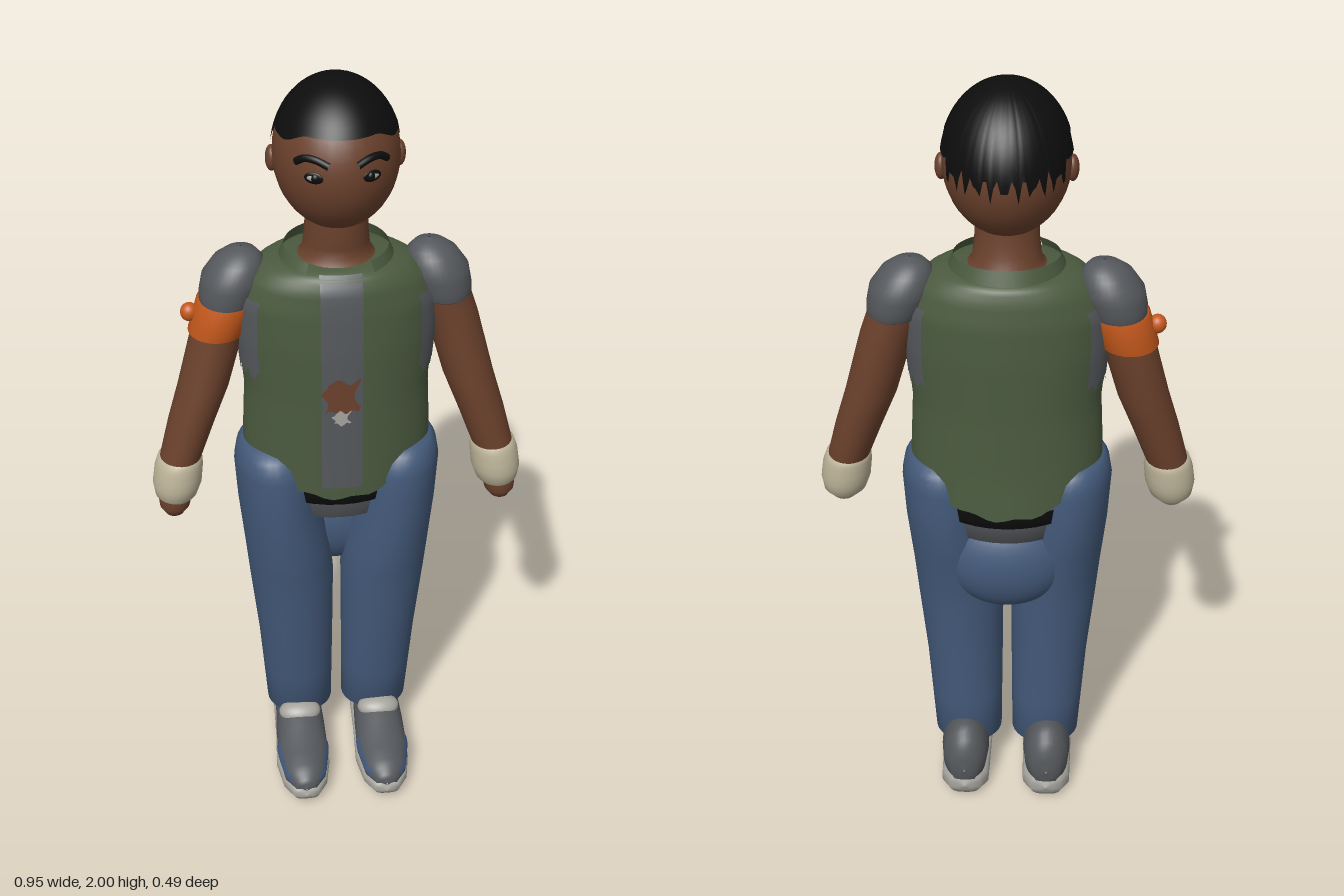
import * as THREE from 'three';
import { mergeVertices } from 'three/addons/utils/BufferGeometryUtils.js';

const { sin, cos, abs, sign, sqrt, PI } = Math;
const lerp = THREE.MathUtils.lerp;
const material = (name, color) => Object.assign(new THREE.MeshStandardMaterial({ color, side: THREE.DoubleSide }), { name });

const skin = material('skin', 0x6b412c);
const black = material('black', 0x0d0d0d);
const green = material('green', 0x4b5a3f);
const grey = material('grey', 0x55585c);
const denim = material('denim', 0x435979);
const cream = material('cream', 0xbdb499);
const orange = material('orange', 0xc4581c);
const pale = material('pale', 0xa6a49d);

// Smooth surface from a function of u and v
function grid(fn, nu, nv) {
  const pos = [], index = [];
  for (let j = 0; j <= nv; j++) for (let i = 0; i <= nu; i++) pos.push(...fn(i / nu, j / nv));
  for (let j = 0; j < nv; j++) for (let i = 0; i < nu; i++) {
    const a = j * (nu + 1) + i, b = a + nu + 1;
    index.push(a, a + 1, b + 1, a, b + 1, b);
  }
  const g = new THREE.BufferGeometry();
  g.setAttribute('position', new THREE.Float32BufferAttribute(pos, 3));
  g.setIndex(index);
  const merged = mergeVertices(g, 1e-5);
  merged.computeVertexNormals();
  return merged;
}

// Section row: [station, centre x, half width, low, high]
function section(rows, s) {
  let i = rows.findIndex((r, k) => k < rows.length - 1 && (s - r[0]) * (s - rows[k + 1][0]) <= 0);
  if (i < 0) i = abs(s - rows[0][0]) < abs(s - rows.at(-1)[0]) ? 0 : rows.length - 2;
  const t = THREE.MathUtils.clamp((s - rows[i][0]) / (rows[i + 1][0] - rows[i][0]), 0, 1);
  return rows[i].map((a, k) => lerp(a, rows[i + 1][k], t));
}

// Point on a section: angle 0 faces the high side, PI / 2 faces +x
function ringPoint([s, c, r, lo, hi], a, alongZ = false, grow = 0, e = 1) {
  const bend = v => sign(v) * Math.pow(abs(v), e);
  const A = c + (r + grow) * bend(sin(a)), B = (lo + hi) / 2 + ((hi - lo) / 2 + grow) * bend(cos(a));
  return alongZ ? [A, B, s] : [A, s, B];
}

// Stations run upward in y, or backward in z when alongZ is set
function loft(rows, side = 1, alongZ = false, e = 1) {
  const n = (rows.length - 1) * 2;
  return grid((u, v) => {
    const k = v * n / 2, i = Math.min(Math.floor(k), rows.length - 2);
    const row = rows[i].map((a, j) => lerp(a, rows[i + 1][j], k - i));
    row[1] *= side;
    return ringPoint(row, u * 2 * PI, alongZ, 0, e);
  }, 32, n);
}

const BODY = [
  [0.90, 0, 0.232, -0.240, 0.098], [1.04, 0, 0.240, -0.226, 0.096], [1.20, 0, 0.232, -0.220, 0.095],
  [1.35, 0, 0.245, -0.220, 0.095], [1.45, 0, 0.246, -0.215, 0.090], [1.51, 0, 0.220, -0.205, 0.083],
  [1.54, 0, 0.185, -0.195, 0.072], [1.553, 0, 0.145, -0.180, 0.055], [1.557, 0, 0.09, -0.14, 0.02]];
const LEG = [
  [0.13, 0.105, 0.004, -0.075, -0.07], [0.131, 0.105, 0.090, -0.155, 0.012], [0.40, 0.113, 0.101, -0.160, 0.045],
  [0.60, 0.122, 0.112, -0.170, 0.065], [0.70, 0.131, 0.112, -0.182, 0.080], [0.85, 0.150, 0.108, -0.205, 0.090],
  [0.97, 0.158, 0.107, -0.205, 0.090], [1.01, 0.162, 0.096, -0.195, 0.078], [1.035, 0.165, 0.078, -0.175, 0.055],
  [1.05, 0.168, 0.03, -0.12, 0.0]];
const ARM = [
  [0.96, 0.412, 0.050, -0.090, 0.025], [1.00, 0.402, 0.053, -0.100, 0.025], [1.10, 0.370, 0.059, -0.115, 0.020],
  [1.20, 0.335, 0.064, -0.130, 0.015], [1.37, 0.288, 0.066, -0.142, 0.002], [1.50, 0.245, 0.065, -0.140, 0.0]];
const SLEEVE = [
  [1.425, 0.268, 0.062, -0.143, 0.002], [1.43, 0.267, 0.068, -0.150, 0.008], [1.46, 0.260, 0.074, -0.156, 0.011],
  [1.50, 0.248, 0.078, -0.156, 0.010], [1.54, 0.236, 0.062, -0.138, -0.008], [1.562, 0.230, 0.038, -0.112, -0.036],
  [1.572, 0.228, 0.003, -0.078, -0.072]];
const GLOVE = [
  [0.862, 0.420, 0.004, -0.035, -0.028], [0.870, 0.420, 0.030, -0.065, 0.010], [0.895, 0.418, 0.054, -0.090, 0.030],
  [0.93, 0.414, 0.063, -0.102, 0.040], [0.975, 0.408, 0.062, -0.104, 0.036], [1.00, 0.404, 0.057, -0.102, 0.030],
  [1.008, 0.402, 0.045, -0.09, 0.02]];
const FINGERS = [
  [0.838, 0.425, 0.004, -0.010, 0.0], [0.845, 0.425, 0.022, -0.026, 0.014], [0.865, 0.424, 0.038, -0.045, 0.024],
  [0.90, 0.421, 0.045, -0.06, 0.025]];
const SHOE = [
  [0.245, 0.111, 0.002, 0.055, 0.06], [0.238, 0.111, 0.028, 0.035, 0.085], [0.20, 0.111, 0.056, 0.025, 0.108],
  [0.12, 0.111, 0.070, 0.025, 0.125], [0.03, 0.111, 0.068, 0.025, 0.155], [-0.08, 0.111, 0.062, 0.025, 0.185],
  [-0.15, 0.111, 0.064, 0.025, 0.215], [-0.20, 0.111, 0.058, 0.025, 0.205], [-0.23, 0.111, 0.036, 0.040, 0.165],
  [-0.238, 0.111, 0.002, 0.095, 0.10]];
const SOLE = [
  [0.250, 0.111, 0.002, 0.035, 0.04], [0.242, 0.111, 0.034, 0.020, 0.058], [0.20, 0.111, 0.060, 0.014, 0.064],
  [0.12, 0.111, 0.074, 0.014, 0.060], [0.0, 0.111, 0.068, 0.018, 0.048], [-0.10, 0.111, 0.066, 0.008, 0.056],
  [-0.19, 0.111, 0.064, 0.0, 0.066], [-0.228, 0.111, 0.042, 0.010, 0.07], [-0.240, 0.111, 0.002, 0.04, 0.045]];

export function createModel() {
  const model = new THREE.Group();
  const add = (name, geometry, mat, p = [0, 0, 0], s = [1, 1, 1]) => {
    const m = new THREE.Mesh(geometry, mat);
    m.name = name;
    m.position.set(...p);
    m.scale.set(...s);
    model.add(m);
    return m;
  };
  const ball = new THREE.SphereGeometry(1, 32, 24);

  // Head and hair share one ellipsoid
  const C = [0, 1.817, -0.056], R = [0.150, 0.179, 0.179];
  add('head', ball, skin, C, R);
  const hairline = a => {
    const d = abs(a) * 180 / PI;
    if (d < 95) return lerp(1.912, 1.886, THREE.MathUtils.smoothstep(d, 35, 65));
    if (d < 115) return 1.845;
    return 1.815 + 0.022 * sin(d * 0.55) + 0.014 * sin(d * 1.3);
  };
  add('hair', grid((u, v) => {
    const a = (u * 2 - 1) * PI, k = 1.025;
    const t = (1 - v) * Math.acos((hairline(a) - C[1]) / (R[1] * k));
    return [R[0] * k * sin(t) * sin(a), C[1] + R[1] * k * cos(t), C[2] + R[2] * k * sin(t) * cos(a)];
  }, 120, 14), black);

  const faceZ = (x, y) => C[2] + R[2] * sqrt(1 - (x / R[0]) ** 2 - ((y - C[1]) / R[1]) ** 2);
  for (const side of [1, -1]) {
    add('ear', ball, skin, [side * 0.15, 1.8, -0.07], [0.015, 0.032, 0.024]);
    const path = [[0.032, 1.856], [0.06, 1.867], [0.085, 1.866], [0.103, 1.853]]
      .map(([x, y]) => new THREE.Vector3(side * x, y, faceZ(x, y)));
    add('eyebrow', new THREE.TubeGeometry(new THREE.CatmullRomCurve3(path), 12, 0.009, 8), black);
    for (const [name, mat, x, w, h, d] of [['eyelid', black, 0.066, 0.023, 0.014, 0.004], ['eyeWhite', pale, 0.067, 0.017, 0.008, 0.006], ['iris', black, 0.063, 0.010, 0.011, 0.008]]) {
      const eye = add(name, ball, mat, [side * x, 1.826, faceZ(x, 1.826)], [w, h, d]);
      eye.rotation.y = side * 0.45;
    }
  }
  add('neck', loft([[1.515, 0, 0.125, -0.17, 0.062], [1.545, 0, 0.105, -0.155, 0.045], [1.568, 0, 0.083, -0.138, 0.016],
    [1.62, 0, 0.077, -0.125, 0.02], [1.69, 0, 0.075, -0.12, 0.02]]), skin);

  // Vest with a hem that rises at the hips
  add('vest', grid((u, v) => {
    const a = u * 2 * PI, hem = 0.93 + 0.09 * sin(a) ** 2 + 0.005 * sin(a * 14);
    return ringPoint(section(BODY, lerp(hem, 1.557, 1 - (1 - v) ** 1.6)), a);
  }, 64, 30), green);
  add('collar', grid((u, v) => {
    const a = lerp(0.62, 2 * PI - 0.62, u), lift = 0.5 - 0.5 * cos(a);
    const r = 0.145 - 0.018 * v;
    return [r * sin(a), 1.538 + v * (0.035 + 0.012 * lift), -0.058 + (r - 0.014) * cos(a)];
  }, 40, 4), green);

  // Thin plates following the front of the body
  const frontPlate = (name, mat, x0, x1, y0, y1, lift, ragged = 0) => add(name, grid((u, v) => {
    const row = section(BODY, lerp(y0, y1, v) + ragged * sin(u * 9 + v * 5));
    const x = lerp(x0, x1, u) + ragged * sin(v * 8);
    return ringPoint(row, Math.asin(x / row[2]), false, lift);
  }, 10, 24), mat);
  frontPlate('shirtFront', grey, -0.05, 0.05, 0.965, 1.552, 0.004);
  frontPlate('shirtTear', skin, -0.042, 0.036, 1.19, 1.28, 0.007, 0.008);
  frontPlate('shirtPatch', pale, -0.022, 0.016, 1.16, 1.195, 0.009, 0.005);

  // Hips between the legs
  add('shirtTail', loft([[0.83, 0, 0.1, -0.15, 0.02], [0.84, 0, 0.17, -0.205, 0.055], [0.95, 0, 0.2, -0.222, 0.075]]), grey);
  add('belt', loft([[0.896, 0, 0.185, -0.2, 0.06], [0.897, 0, 0.195, -0.224, 0.078], [0.94, 0, 0.2, -0.228, 0.085]]), black);
  add('seat', ball, denim, [0, 0.75, -0.118], [0.165, 0.15, 0.107]);

  for (const side of [1, -1]) {
    const name = side > 0 ? 'left' : 'right';
    // Ragged sleeve lining below the armpit
    add(name + 'Armhole', grid((u, v) => {
      const z = lerp(-0.155, 0.03, u), low = 1.26 + 0.014 * sin(u * 40);
      const row = section(BODY, lerp(low, 1.47, v));
      const a = Math.acos((z - (row[3] + row[4]) / 2) / ((row[4] - row[3]) / 2));
      return ringPoint(row, side * a, false, 0.004);
    }, 28, 10), grey);
    add(name + 'Arm', loft(ARM, side), skin);
    add(name + 'Sleeve', loft(SLEEVE, side), grey);
    add(name + 'Glove', loft(GLOVE, side), cream);
    add(name + 'Fingers', loft(FINGERS, side), skin);
    add(name + 'TrouserLeg', loft(LEG, side), denim);

    // Shoe
    add(name + 'Shoe', loft(SHOE, side, true), grey);
    add(name + 'Sole', loft(SOLE, side, true, 0.7), pale);
    add(name + 'Tongue', ball, pale, [side * 0.111, 0.138, 0.014], [0.058, 0.032, 0.04]);
    for (const edge of [1, -1]) add(name + 'ToeStripe', grid((u, v) => {
      const row = section(SHOE, lerp(0.225, 0.1, v));
      row[1] *= side;
      return ringPoint(row, edge * lerp(1.0, 1.4, u), true, 0.003);
    }, 4, 8), denim);
  }

  // Band tied around the right arm
  add('armBand', loft([[1.35, 0.294, 0.062, -0.138, -0.002], [1.352, 0.294, 0.072, -0.15, 0.01],
    [1.435, 0.268, 0.074, -0.152, 0.012], [1.438, 0.267, 0.06, -0.138, -0.002]], -1), orange);
  add('armBandKnot', ball, orange, [-0.36, 1.4, -0.07], [0.022, 0.024, 0.022]);
  return model;
}
